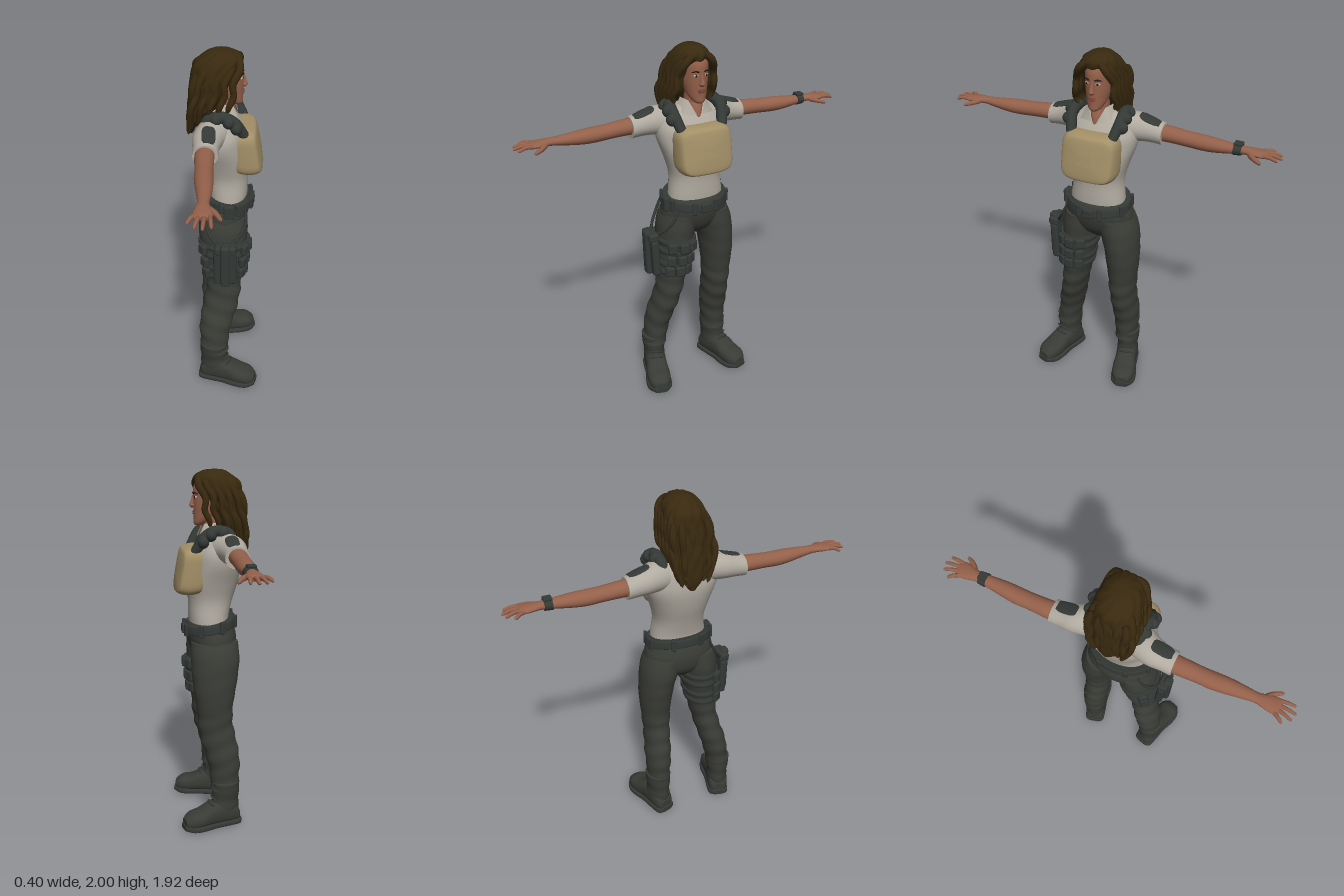
import * as THREE from 'three';
import { RoundedBoxGeometry } from 'three/addons/geometries/RoundedBoxGeometry.js';

const mat = (name, color) => Object.assign(new THREE.MeshStandardMaterial({ color, side: THREE.DoubleSide }), { name });
const M = {
  shirt: mat('shirt grey', 0xb0aaa0), skin: mat('skin', 0x94604a), trousers: mat('trousers', 0x3b3d37),
  hair: mat('hair brown', 0x38290f), plate: mat('plate tan', 0xa38f67), gear: mat('gear dark', 0x343936),
  boot: mat('boot', 0x393b36), dark: mat('dark detail', 0x1d1a17), lips: mat('lips', 0x7c4238), eye: mat('eye white', 0xb9aea2),
};

// Skin over elliptical sections [t, cu, cv, ru, rv] along an axis (0 x, 1 y, 2 z), u and v being the next two axes.
function loft(axis, rings, { n = 2, seg = 28, steps = 4, bump, warp } = {}) {
  const k = rings.length - 1, pos = [], idx = [];
  const cr = (a, b, c, d, t) => b + 0.5 * t * (c - a + t * (2 * a - 5 * b + 4 * c - d + t * (3 * (b - c) + d - a)));
  const push = (s, th, scale = 1) => {
    const c = Math.cos(th), w = Math.sin(th), e = 2 / n, p = [0, 0, 0];
    const b = scale * (bump ? bump(th, s[0]) : 1);
    p[axis] = s[0];
    p[(axis + 1) % 3] = s[1] + Math.sign(c) * Math.abs(c) ** e * Math.max(s[3], 0.001) * b;
    p[(axis + 2) % 3] = s[2] + Math.sign(w) * Math.abs(w) ** e * Math.max(s[4], 0.001) * b;
    if (warp) warp(p);
    pos.push(...p);
  };
  const rows = [];
  for (let i = 0; i <= k * steps; i++) {
    const j = Math.min(Math.floor(i / steps), k - 1), t = i / steps - j;
    const [a, b, c, d] = [j - 1, j, j + 1, j + 2].map(q => rings[Math.max(0, Math.min(k, q))]);
    rows.push(b.map((_, m) => cr(a[m], b[m], c[m], d[m], t)));
  }
  for (const s of rows) for (let q = 0; q < seg; q++) push(s, q / seg * Math.PI * 2);
  for (let i = 0; i < rows.length - 1; i++) for (let q = 0; q < seg; q++) {
    const a = i * seg + q, b = i * seg + (q + 1) % seg;
    idx.push(a, b, a + seg, b, b + seg, a + seg);
  }
  // end caps
  [[rows[0], 1], [rows[rows.length - 1], 0]].forEach(([s, flip]) => {
    const o = pos.length / 3;
    for (let q = 0; q < seg; q++) push(s, q / seg * Math.PI * 2);
    push(s, 0, 0);
    for (let q = 0; q < seg; q++) {
      const a = o + q, b = o + (q + 1) % seg;
      idx.push(o + seg, flip ? b : a, flip ? a : b);
    }
  });
  const g = new THREE.BufferGeometry();
  g.setAttribute('position', new THREE.Float32BufferAttribute(pos, 3));
  g.setIndex(idx);
  g.computeVertexNormals();
  return g;
}

// Rounded tube through points; radius runs from r0 to r1, with closed ends.
function strand(pts, r0, r1, sides = 8, len = 16) {
  const curve = new THREE.CatmullRomCurve3(pts.map(p => new THREE.Vector3(...p)));
  const g = new THREE.TubeGeometry(curve, len, 1, sides), P = g.attributes.position, v = new THREE.Vector3();
  for (let i = 0; i <= len; i++) {
    const t = i / len, c = curve.getPointAt(t);
    const r = (r0 + (r1 - r0) * t) * Math.sqrt(Math.max(0, 1 - Math.abs(2 * t - 1) ** 8));
    for (let j = 0; j <= sides; j++) {
      const m = i * (sides + 1) + j;
      v.fromBufferAttribute(P, m).sub(c).multiplyScalar(r).add(c);
      P.setXYZ(m, v.x, v.y, v.z);
    }
  }
  return g;
}

// Sections along z, mirrored to the other side when s is -1.
const side = (s, rings) => s > 0 ? rings : rings.map(([z, ...r]) => [-z, ...r]).reverse();

export function createModel() {
  const root = new THREE.Group();
  const add = (name, geo, m, p = [0, 0, 0], r = [0, 0, 0], parent = root) => {
    const mesh = new THREE.Mesh(geo, m);
    mesh.name = name;
    mesh.position.set(...p);
    mesh.rotation.set(...r);
    parent.add(mesh);
    return mesh;
  };
  const box = (x, y, z, r = 0.01) => new RoundedBoxGeometry(x, y, z, 2, r);
  const ball = (x, y, z) => new THREE.SphereGeometry(1, 16, 12).scale(x, y, z);

  // Torso and trousers
  add('shirt', loft(1, [[1.14, 0, .015, .16, .11], [1.2, 0, .02, .153, .11], [1.3, 0, .01, .142, .122], [1.4, 0, 0, .165, .142],
    [1.5, 0, -.02, .197, .14], [1.57, 0, -.025, .2, .13], [1.63, 0, -.035, .17, .105], [1.67, 0, -.03, .11, .075], [1.69, 0, -.02, .065, .06]],
  { n: 2.2, seg: 40 }), M.shirt);
  add('hips', loft(1, [[.94, 0, -.01, .06, .06], [1, 0, -.005, .18, .115], [1.08, 0, .003, .197, .138], [1.15, 0, .012, .18, .135], [1.18, 0, .012, .17, .125]],
    { seg: 36 }), M.trousers);
  const legs = { left: [-.16, -.157, -.155, -.15, -.147, -.147, -.145, -.137, -.118, -.1],
    right: [.238, .225, .207, .18, .158, .142, .13, .12, .11, .1] };
  const legSize = [[.22, -.05, .068, .08], [.3, -.053, .068, .083], [.4, -.045, .075, .093], [.5, -.022, .074, .1], [.6, -.003, .076, .098],
    [.7, .003, .083, .1], [.8, .003, .092, .115], [.9, 0, .098, .128], [1, -.003, .107, .135], [1.08, 0, .095, .13]];
  for (const [name, zs] of Object.entries(legs)) {
    add(name + 'TrouserLeg', loft(1, legSize.map(([y, cx, rz, rx], i) => [y, zs[i], cx, rz, rx]), {
      steps: 6, bump: (th, y) => 1 + (y < .68 ? .035 : .006) * Math.sin(y * 62 + 2 * Math.sin(th)) }), M.trousers);
  }

  // Belt, dipping toward the front
  const slope = p => { p[1] -= .17 * p[0]; };
  add('belt', loft(1, [[1.138, 0, .013, .186, .142], [1.145, 0, .013, .189, .146], [1.18, 0, .013, .184, .143], [1.187, 0, .013, .178, .138]],
    { seg: 40, warp: slope }), M.gear);
  for (const a of [.35, -.35, 1.1, -1.1, 1.9, -1.9, 2.7, -2.7]) {
    const x = .013 + .146 * Math.cos(a), z = .188 * Math.sin(a);
    add('beltLoop', box(.018, .07, .03, .006), M.gear, [x, 1.163 - .17 * x, z], [0, -a, 0]);
  }
  add('buckle', box(.02, .055, .06), M.gear, [.16, 1.135, 0]);
  add('beltPouch', box(.06, .08, .035), M.gear, [.03, 1.15, .185]);

  // Boots
  for (const [name, s, z] of [['rightBoot', 1, .238], ['leftBoot', -1, -.163]]) {
    const g = new THREE.Group();
    g.name = name;
    g.position.set(-.055, 0, z);
    g.rotation.y = -s * .27;
    root.add(g);
    add('foot', loft(0, [[-.082, .05, 0, .03, .035], [-.06, .065, 0, .055, .055], [0, .085, 0, .075, .063], [.08, .08, 0, .068, .062],
      [.15, .063, 0, .05, .068], [.21, .056, 0, .043, .062], [.248, .045, 0, .025, .035]], { n: 2.5 }), M.boot, [0, 0, 0], [0, 0, 0], g);
    add('shaft', loft(1, [[.05, 0, 0, .06, .078], [.12, 0, .003, .062, .084], [.17, 0, -.003, .062, .078], [.23, 0, -.003, .07, .08], [.262, 0, -.003, .072, .082], [.27, 0, -.003, .066, .076]],
      { bump: (th, y) => 1 + .02 * Math.sin(y * 70) }), M.boot, [0, 0, 0], [0, 0, 0], g);
    add('sole', loft(0, [[-.09, .018, 0, .015, .035], [-.07, .018, 0, .018, .06], [0, .018, 0, .018, .064], [.07, .018, 0, .018, .064],
      [.15, .018, 0, .018, .075], [.21, .018, 0, .018, .068], [.255, .022, 0, .014, .035]], { n: 4 }), M.gear, [0, 0, 0], [0, 0, 0], g);
    for (let i = 0; i < 5; i++) {
      const x = .132 - i * .015, y = .118 + i * .028;
      add('lace', strand([[x - .035, y - .012, -.045], [x - .01 - i * .006, y + .004, 0], [x - .035, y - .006, .045]], .006, .006, 6, 10), M.gear, [0, 0, 0], [0, 0, 0], g);
    }
  }

  // Arms, sleeves and hands
  for (const s of [1, -1]) {
    const n = s > 0 ? 'right' : 'left';
    add(n + 'Sleeve', loft(2, side(s, [[.08, -.04, 1.59, .09, .08], [.15, -.06, 1.595, .088, .08], [.21, -.08, 1.592, .077, .074], [.27, -.086, 1.582, .066, .064], [.33, -.087, 1.572, .064, .058]])), M.shirt);
    add(n + 'Arm', loft(2, side(s, [[.26, -.088, 1.577, .05, .045], [.36, -.09, 1.576, .049, .043], [.46, -.088, 1.57, .045, .04], [.53, -.087, 1.567, .046, .041],
      [.6, -.083, 1.567, .043, .038], [.68, -.08, 1.569, .035, .029], [.75, -.08, 1.572, .028, .021], [.79, -.08, 1.573, .035, .019], [.83, -.079, 1.572, .044, .017], [.865, -.079, 1.571, .044, .014], [.878, -.079, 1.571, .036, .009]])), M.skin);
    // fingers and thumb as [base x, base z, tip x, tip z]
    for (const [bx, bz, tx, tz] of [[-.112, .85, -.148, .908], [-.092, .86, -.115, .948], [-.07, .86, -.077, .958], [-.048, .855, -.038, .943]]) {
      add(n + 'Finger', strand([[bx, 1.572, s * bz], [(bx + tx) / 2, 1.575, s * (bz + tz) / 2], [tx, 1.562, s * tz]], .012, .008), M.skin);
    }
    add(n + 'Thumb', strand([[-.06, 1.57, s * .79], [-.022, 1.562, s * .826], [.004, 1.552, s * .87]], .017, .009), M.skin);
    // shoulder patch, laid over the sleeve top
    add(n + 'Patch', loft(2, side(s, [[.2, -.072, 1.666, .022, .004], [.22, -.072, 1.661, .034, .004], [.28, -.072, 1.643, .034, .004], [.31, -.072, 1.634, .024, .004]]),
      { n: 4, warp: p => { p[1] -= 5 * (p[0] + .084) ** 2; } }), M.gear);
    // shoulder strap with padded ribs
    add(n + 'Strap', strand([[-.1, 1.63, s * .125], [-.07, 1.67, s * .13], [-.01, 1.685, s * .135], [.05, 1.66, s * .14], [.09, 1.6, s * .125], [.12, 1.55, s * .11]], .034, .028, 10, 24), M.gear);
    for (const [x, y, z] of [[-.04, 1.675, .14], [.025, 1.668, .15], [.065, 1.632, .147]]) {
      add(n + 'StrapPad', ball(.032, .036, .04), M.gear, [x, y, s * z]);
    }
    // open collar
    const flap = new THREE.BufferGeometry();
    flap.setAttribute('position', new THREE.Float32BufferAttribute([-.02, 1.72, s * .066, .045, 1.715, s * .05, .075, 1.64, s * .015, .07, 1.645, s * .085, -.02, 1.67, s * .09], 3));
    flap.setIndex(s > 0 ? [0, 4, 1, 1, 4, 3, 1, 3, 2] : [0, 1, 4, 1, 3, 4, 1, 2, 3]);
    flap.computeVertexNormals();
    add(n + 'Collar', flap, M.shirt);
  }
  add('watchBand', loft(2, [[-.75, -.08, 1.572, .034, .029], [-.71, -.08, 1.572, .038, .032]]), M.gear);
  add('watchFace', box(.045, .014, .045, .005), M.gear, [-.08, 1.603, -.73]);

  // Chest plate
  add('chestPlate', loft(0, [[.06, 1.467, 0, .115, .14], [.09, 1.467, 0, .125, .154], [.14, 1.467, 0, .13, .157], [.185, 1.467, 0, .12, .148], [.2, 1.467, 0, .1, .125], [.206, 1.467, 0, .03, .04]],
    { n: 5, seg: 48, warp: p => { p[0] -= (p[1] - 1.42) * .17 + p[2] ** 2 * .7; } }), M.plate);

  // Thigh rig
  const thighAt = y => ({ z: .142 - (y - .7) * .11, rz: .083 + (y - .7) * .08, rx: .1 + (y - .7) * .14 });
  for (const y of [.735, .79, .87, .925]) {
    const t = thighAt(y), o = .009;
    add('thighStrap', loft(1, [[y - .015, t.z, .002, t.rz + o, t.rx + o], [y, t.z, .002, t.rz + o + .004, t.rx + o + .004], [y + .015, t.z, .002, t.rz + o, t.rx + o]]), M.gear);
  }
  for (const y of [.755, .825, .905]) for (const a of [.05, .6, -.5, 2.5]) {
    const t = thighAt(y);
    add('thighPouch', box(.035, .062, .055, .012), M.gear, [(t.rx + .012) * Math.cos(a), y, t.z + (t.rz + .012) * Math.sin(a)], [0, -a, 0]);
  }
  add('holster', box(.13, .22, .045, .016), M.gear, [.01, .84, .262], [.05, 0, 0]);
  add('holsterSpine', box(.055, .27, .05, .016), M.gear, [.01, .865, .285], [.03, 0, 0]);
  add('holsterFlap', box(.12, .05, .06, .015), M.gear, [.01, .965, .27]);
  for (const x of [-.1, .12]) add('holsterHanger', strand([[x, 1.15, .14], [x * .95, 1.06, .185], [x * .5, .99, .235], [.01, .97, .255]], .008, .008, 6), M.gear);

  // Neck and head
  add('neck', loft(1, [[1.6, 0, .0, .06, .06], [1.66, 0, -.004, .058, .058], [1.7, 0, .0, .05, .052], [1.78, 0, .0, .05, .055]]), M.skin);
  add('openNeck', loft(1, [[1.615, 0, .065, .006, .01], [1.66, 0, .042, .03, .025], [1.7, 0, .03, .04, .02]]), M.skin);
  add('head', loft(1, [[1.703, 0, .073, .016, .016], [1.715, 0, .063, .032, .035], [1.74, 0, .041, .048, .057], [1.77, 0, .022, .058, .077], [1.81, 0, .014, .066, .086],
    [1.86, 0, .006, .07, .095], [1.91, 0, 0, .072, .098], [1.95, 0, -.01, .06, .085], [1.98, 0, -.015, .03, .045]], { seg: 36 }), M.skin);
  add('nose', loft(1, [[1.797, 0, .1, .008, .01], [1.808, 0, .103, .016, .018], [1.82, 0, .102, .012, .017], [1.845, 0, .1, .008, .01], [1.868, 0, .096, .006, .007]], { seg: 14 }), M.skin);
  add('upperLip', ball(.008, .005, .024), M.lips, [.097, 1.777, 0]);
  add('lowerLip', ball(.009, .006, .02), M.lips, [.096, 1.767, 0]);
  for (const s of [1, -1]) {
    add('eye', ball(.006, .007, .014), M.eye, [.091, 1.853, s * .03], [0, -s * .35, 0]);
    add('iris', ball(.004, .006, .006), M.dark, [.0955, 1.853, s * .03], [0, -s * .35, 0]);
    add('brow', strand([[.1, 1.871, s * .012], [.095, 1.876, s * .03], [.08, 1.87, s * .05]], .005, .003, 6, 8), M.dark);
  }

  // Hair: ridged mass plus loose wavy locks
  add('hairMass', loft(1, [[1.535, 0, -.175, .015, .012], [1.59, .005, -.162, .06, .033], [1.66, .01, -.13, .1, .06], [1.74, .012, -.09, .118, .093], [1.82, .012, -.066, .118, .104],
    [1.88, .01, -.05, .114, .113], [1.93, .008, -.03, .103, .122], [1.965, .006, -.01, .082, .1], [1.99, .004, -.012, .048, .06], [1.997, 0, -.012, .02, .03]],
  { seg: 72, steps: 6, bump: (th, y) => 1 + .035 * Math.sin(11 * th + 3 * Math.sin(y * 24)) }), M.hair);
  for (const s of [1, -1]) for (let i = 0; i < 5; i++) {
    const back = i * .042, low = 1.7 - i * .035;
    add('hairLock', strand([[.07 - back, 1.965 - i * .004, s * .025], [.08 - back, 1.92, s * .075 + .005], [.045 - back, 1.85, s * .105 + .008],
      [.05 - back * 1.1, 1.79, s * .108 + .01], [.025 - back * 1.1, 1.735, s * .116 + .014], [.02 - back * 1.2, low, s * (.1 - i * .008) + .012]], .022, .015, 8, 24), M.hair);
  }
  for (let i = -2; i <= 2; i++) {
    const z = i * .035;
    add('backLock', strand([[-.13, 1.9, z * 1.2], [-.155, 1.82, z * 1.4], [-.16, 1.74, z * 1.2], [-.175, 1.66, z * 1.3], [-.168, 1.6, z], [-.182, 1.535 + Math.abs(i) * .02, z * .8]], .024, .014, 8, 24), M.hair);
  }
  return root;
}
